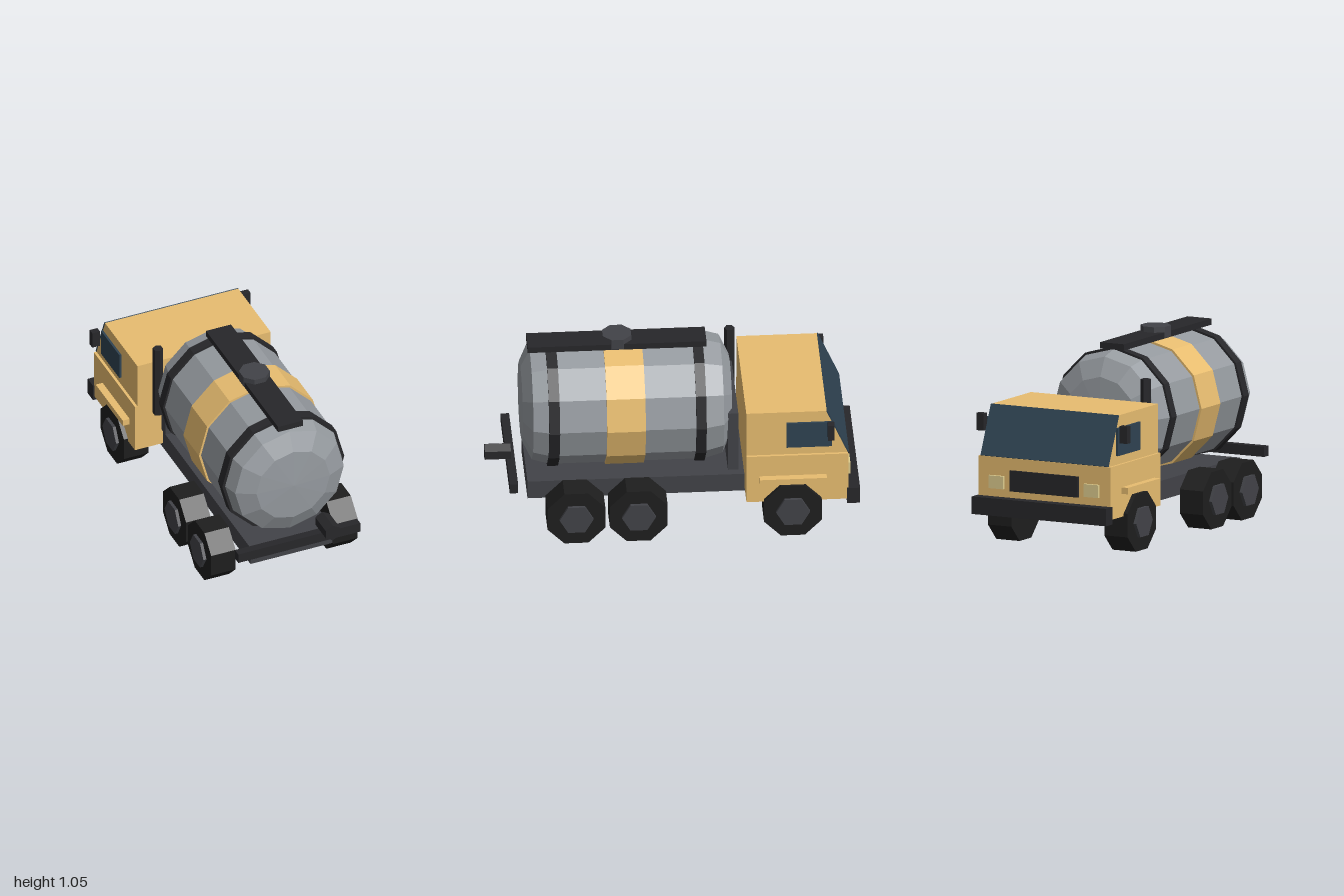
import * as THREE from 'three';

const mat = (color) => new THREE.MeshStandardMaterial({ color, flatShading: true });

export function createModel() {
  const truck = new THREE.Group();
  truck.name = 'tankerTruck';
  const paint = mat(0xe8bd70), steel = mat(0x969ba0), frame = mat(0x424348);
  const dark = mat(0x27272a), rubber = mat(0x1e1e1e), glass = mat(0x2f4352), lamp = mat(0xe0cf90);

  const add = (name, geometry, material) => {
    const mesh = new THREE.Mesh(geometry, material);
    mesh.name = name;
    truck.add(mesh);
    return mesh;
  };
  // box given by its limits on each axis
  const box = (name, material, [x0, x1], [y0, y1], [z0, z1]) =>
    add(name, new THREE.BoxGeometry(x1 - x0, y1 - y0, z1 - z0), material)
      .position.set((x0 + x1) / 2, (y0 + y1) / 2, (z0 + z1) / 2);
  // the same box on both sides
  const pair = (name, material, [x0, x1], y, z) => {
    box(name + 'Left', material, [x0, x1], y, z);
    box(name + 'Right', material, [-x1, -x0], y, z);
  };
  // side profile of [forward, up] points, extruded across the width
  const profile = (name, material, points, width) => {
    const shape = new THREE.Shape(points.map(([f, y]) => new THREE.Vector2(f, y)));
    const g = new THREE.ExtrudeGeometry(shape, { depth: width, bevelEnabled: false });
    g.rotateY(Math.PI / 2).translate(-width / 2, 0, 0);
    add(name, g, material);
  };

  // chassis and bumpers
  box('chassis', frame, [-0.24, 0.24], [0.175, 0.28], [-0.875, 0.775]);
  box('frontBumper', dark, [-0.413, 0.413], [0.18, 0.275], [-1, -0.93]);
  box('rearBumper', dark, [-0.357, 0.357], [0.284, 0.34], [0.833, 0.878]);

  // cab
  box('cabLower', paint, [-0.405, 0.405], [0.204, 0.49], [-0.937, -0.39]);
  profile('cabUpper', paint, [[0.39, 0.49], [0.937, 0.49], [0.822, 0.755], [0.39, 0.755]], 0.78);
  profile('windscreen', glass,
    [[0.935, 0.49], [0.942, 0.493], [0.827, 0.757], [0.82, 0.754]], 0.784);
  pair('sideWindow', glass, [0.385, 0.402], [0.538, 0.69], [-0.85, -0.605]);
  pair('mirror', dark, [0.418, 0.463], [0.611, 0.705], [-0.86, -0.825]);
  pair('sideStep', paint, [0.4, 0.445], [0.33, 0.365], [-0.82, -0.46]);
  pair('headlight', lamp, [0.247, 0.337], [0.32, 0.39], [-0.953, -0.93]);
  box('grille', dark, [-0.21, 0.21], [0.312, 0.425], [-0.95, -0.93]);

  // equipment behind the cab
  box('rearCabinet', frame, [-0.265, 0.265], [0.325, 0.68], [-0.356, -0.3]);
  add('exhaustStack', new THREE.CylinderGeometry(0.028, 0.028, 0.428, 6), dark)
    .position.set(-0.29, 0.661, -0.345);

  // tank with domed ends
  const tankY = 0.645, tankZ = 0.235;
  const end = [[0, 0.573], [0.215, 0.562], [0.318, 0.512], [0.345, 0.415]];
  const outline = [
    ...end.map(([r, h]) => new THREE.Vector2(r, -h)),
    ...end.map(([r, h]) => new THREE.Vector2(r, h)).reverse(),
  ];
  add('tank', new THREE.LatheGeometry(outline, 12).rotateX(Math.PI / 2), steel)
    .position.set(0, tankY, tankZ);
  const bands = [['rearBand', 0.636, 0.058, dark], ['frontBand', -0.153, 0.055, dark],
    ['centreBand', 0.25, 0.208, paint]];
  for (const [name, z, width, material] of bands) {
    const g = new THREE.CylinderGeometry(0.357, 0.357, width, 12).rotateX(Math.PI / 2);
    add(name, g, material).position.set(0, tankY, z);
  }

  // walkway, filler hatch and outlet
  box('walkway', dark, [-0.073, 0.073], [0.99, 1.024], [-0.198, 0.762]);
  add('hatch', new THREE.CylinderGeometry(0.083, 0.083, 0.06, 8).rotateY(Math.PI / 8), frame)
    .position.set(0, 1.024, 0.28);
  add('outletPipe', new THREE.CylinderGeometry(0.048, 0.048, 0.14, 6).rotateX(Math.PI / 2), dark)
    .position.set(0.143, 0.418, 0.93);

  // wheels: octagonal tyres with hexagonal hubs
  const tyre = new THREE.CylinderGeometry(0.168, 0.168, 0.143, 8)
    .rotateY(Math.PI / 8).rotateZ(Math.PI / 2);
  const hub = new THREE.CylinderGeometry(0.091, 0.091, 0.16, 6).rotateZ(Math.PI / 2);
  for (const z of [-0.638, 0.19, 0.525]) {
    for (const side of [-1, 1]) {
      add('tyre', tyre, rubber).position.set(side * 0.357, 0.155, z);
      add('hub', hub, frame).position.set(side * 0.366, 0.155, z);
    }
  }
  return truck;
}
